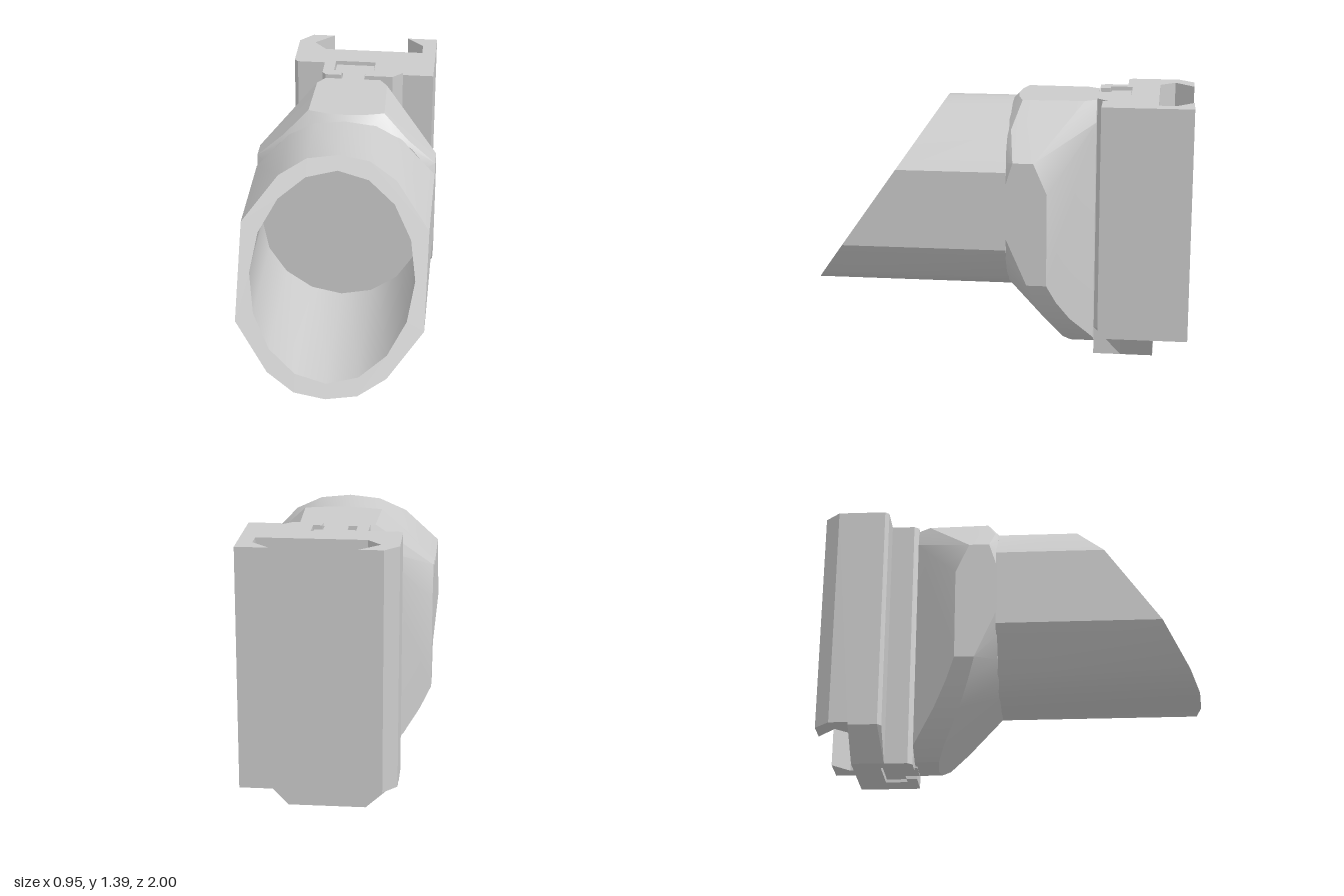
import * as THREE from 'three';
import { toCreasedNormals } from 'three/addons/utils/BufferGeometryUtils.js';
import { ConvexGeometry } from 'three/addons/geometries/ConvexGeometry.js';

const AXIS_Y = 0.843;
const material = new THREE.MeshStandardMaterial({ color: 0xcccccc });

function part(name, geometry, crease = 0.1) {
  const mesh = new THREE.Mesh(toCreasedNormals(geometry, crease), material);
  mesh.name = name;
  return mesh;
}

const toShape = (points) => new THREE.Shape(points.map(([x, y]) => new THREE.Vector2(x, y)));

// Extrude a plan outline of [x, z] corners upwards from y0 to y1.
function upright(outline, y0, y1) {
  const shape = toShape(outline.map(([x, z]) => [x, -z]));
  const geo = new THREE.ExtrudeGeometry(shape, { depth: y1 - y0, bevelEnabled: false });
  return geo.rotateX(-Math.PI / 2).translate(0, y0, 0);
}

// Flat-sided tube with a blind bore and a slanted mouth.
function createTube() {
  const group = new THREE.Group();
  group.name = 'tube';
  const right = [[0, 0.343], [0.16, 0.363], [0.3, 0.44], [0.475, 0.64],
    [0.475, 1.05], [0.3, 1.25], [0.16, 1.325], [0, 1.345]];
  const left = right.slice(1, -1).reverse().map(([x, y]) => [-x, y]);
  const shape = toShape([...right, ...left]);
  const bore = [];
  for (let i = 0; i < 16; i++) {
    const a = (i / 16) * Math.PI * 2;
    bore.push(new THREE.Vector2(0.418 * Math.cos(a), AXIS_Y + 0.437 * Math.sin(a)));
  }
  shape.holes.push(new THREE.Path(bore));
  const wall = new THREE.ExtrudeGeometry(shape, { depth: 1, bevelEnabled: false });
  const pos = wall.attributes.position;
  for (let i = 0; i < pos.count; i++) {
    const mouth = 1 - 0.7 * (pos.getY(i) - 0.343);
    pos.setZ(i, pos.getZ(i) > 0.5 ? mouth : -0.06);
  }
  group.add(part('tubeWall', wall, 0.6));

  const floor = new THREE.CircleGeometry(1, 16).scale(0.418, 0.437, 1).translate(0, AXIS_Y, 0.16);
  group.add(part('boreFloor', floor));
  return group;
}

// Convex adapter: conical front, rounded underside, tapered rear sides.
function createAdapter() {
  const points = [];
  const both = (x, y, z) => {
    points.push(new THREE.Vector3(x, y, z));
    if (x) points.push(new THREE.Vector3(-x, y, z));
  };
  const coneZ = (x, y) => Math.min(-0.055, 0.445 - Math.hypot(x, y - AXIS_Y));
  const taperZ = (x) => Math.max(-0.5, -0.27 - (0.475 - x) * 0.836);

  // Front rim
  for (let i = 0; i <= 12; i++) {
    const a = (i / 12) * Math.PI - Math.PI / 2;
    const x = Math.max(0, 0.5 * Math.cos(a));
    both(Math.min(0.475, x < 1e-6 ? 0 : x), AXIS_Y + 0.5 * Math.sin(a), -0.055);
  }
  // Underside arc, from the cone to the rear
  for (const [x, y] of [[0, 0.015], [0.1, 0.03], [0.2, 0.085], [0.34, 0.235], [0.42, 0.35], [0.475, 0.455]]) {
    both(x, y, coneZ(x, y));
    both(x, y, taperZ(x));
  }
  // Top flat and its chamfers
  for (const [x, y] of [[0, 1.37], [0.1, 1.37], [0.2, 1.37], [0.33, 1.242], [0.475, 1.1]]) both(x, y, coneZ(x, y));
  both(0.475, 1.1, -0.2);
  both(0.475, 0.94, -0.27);
  both(0.19, 1.37, -0.44);
  both(0.15, 1.37, -0.5);
  both(0.2, 1.26, -0.5);
  return part('adapterBody', new ConvexGeometry(points), 0.35);
}

// Clamp: slotted rail with chamfered foot, fixed hook and separate jaw.
function createClamp() {
  const group = new THREE.Group();
  group.name = 'clamp';
  const slot = [[-0.065, -0.505], [-0.065, -0.56], [-0.11, -0.56], [-0.11, -0.675],
    [0.11, -0.675], [0.11, -0.56], [0.065, -0.56], [0.065, -0.505]];
  const rail = [[-0.34, -0.82], [-0.34, -0.67], [-0.32, -0.65], [-0.17, -0.65], [-0.17, -0.53],
    [-0.15, -0.505], ...slot, [0.215, -0.505], [0.36, -0.65], [0.36, -0.82]];
  group.add(part('rail', upright(rail, 0.15, 1.39)));

  const foot = upright(rail, 0, 0.15);
  const pos = foot.attributes.position;
  for (let i = 0; i < pos.count; i++) {
    if (pos.getY(i) < 0.01) pos.setX(i, THREE.MathUtils.clamp(pos.getX(i), -0.175, 0.215));
  }
  group.add(part('railFoot', foot));

  const hook = [[-0.34, -0.82], [-0.34, -0.92], [-0.27, -1], [-0.15, -1], [-0.25, -0.9], [-0.18, -0.82]];
  group.add(part('fixedHook', upright(hook, 0.165, 1.39)));

  const jaw = [[0.27, -0.535], [0.435, -0.535], [0.435, -1], [0.27, -1],
    [0.36, -0.91], [0.36, -0.65], [0.27, -0.56]];
  group.add(part('movingJaw', upright(jaw, 0.165, 1.39)));
  return group;
}

export function createModel() {
  const model = new THREE.Group();
  model.name = 'clampMount';
  model.add(createTube(), createAdapter(), createClamp());

  // T-shaped tongue joining the adapter to the rail slot
  const tongue = [[-0.06, -0.49], [-0.06, -0.565], [-0.105, -0.565], [-0.105, -0.67],
    [0.105, -0.67], [0.105, -0.565], [0.06, -0.565], [0.06, -0.49]];
  model.add(part('tongue', upright(tongue, 0.015, 1.37)));
  return model;
}
